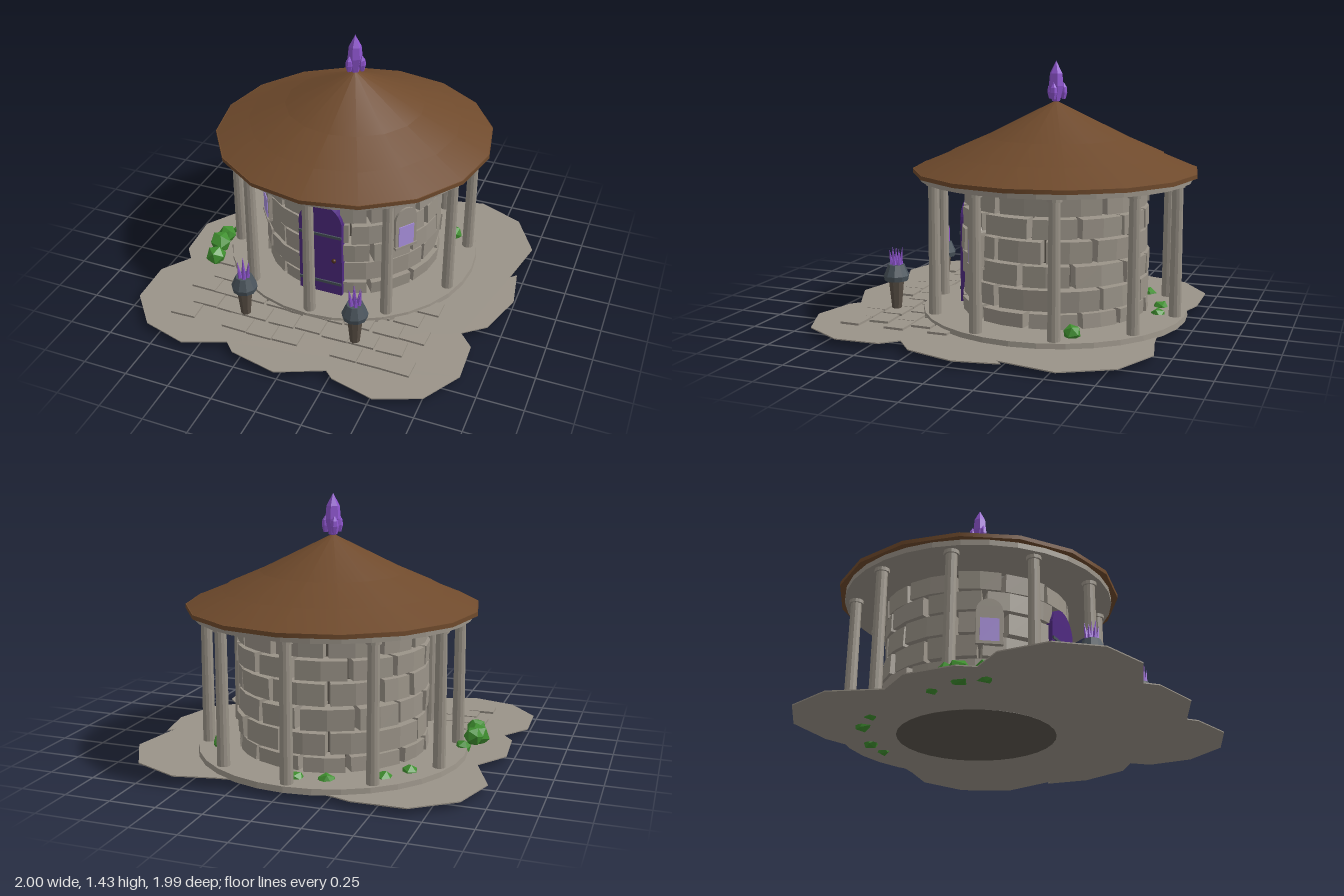
import * as THREE from 'three';

const mat = (name, color, extra = {}) =>
  Object.assign(new THREE.MeshStandardMaterial({ color, ...extra }), { name });

export function createModel() {
  const stone = mat('stone', 0x9a9388, { flatShading: true });
  const mortar = mat('mortar', 0x5c564e);
  const brown = mat('roof brown', 0x6f4a2c);
  const doorPurple = mat('door purple', 0x4f2a80);
  const crystal = mat('crystal purple', 0x8f55d0, { flatShading: true });
  const pane = mat('window lilac', 0xa88fdc);
  const iron = mat('iron', 0x4a545c, { flatShading: true });
  const wood = mat('post wood', 0x5a5046, { flatShading: true });
  const green = mat('leaf green', 0x3f8f2f, { flatShading: true });
  const brass = mat('knob brown', 0x4a2c18);

  const model = new THREE.Group();
  const temple = new THREE.Group();
  temple.name = 'temple';
  temple.position.set(-0.035, 0, -0.21);
  model.add(temple);

  let seed = 7;
  const rnd = () => (seed = (seed * 16807) % 2147483647) / 2147483647;
  const jit = (a) => (rnd() - 0.5) * 2 * a;
  const add = (parent, name, geo, material, x = 0, y = 0, z = 0) => {
    const m = new THREE.Mesh(geo, material);
    m.name = name;
    m.position.set(x, y, z);
    parent.add(m);
    return m;
  };
  // Upright cylinder or cone standing between two heights
  const column = (parent, name, rTop, rBottom, y0, y1, sides, material, x = 0, z = 0) =>
    add(parent, name, new THREE.CylinderGeometry(rTop, rBottom, y1 - y0, sides), material, x, (y0 + y1) / 2, z);

  // Ground slab with a lobed outline
  const outline = [[-.38, -.95], [-.66, -.945], [-.88, -.78], [-.96, -.52], [-.85, -.25], [-.97, -.07], [-.95, .2],
    [-.89, .28], [-1, .44], [-.99, .7], [-.83, .89], [-.58, .96], [-.35, .87], [-.29, .93], [-.02, .99], [.23, .88],
    [.28, .925], [.52, .985], [.76, .89], [.89, .67], [.88, .43], [.8, .34], [.92, .24], [1, -.03], [.96, -.27],
    [.925, -.235], [.985, -.55], [.84, -.81], [.58, -.925], [.37, -.88], [.2, -.86], [-.15, -.88]];
  const groundShape = new THREE.Shape(outline.map(([x, z]) => new THREE.Vector2(x, -z)));
  const groundGeo = new THREE.ExtrudeGeometry(groundShape, { depth: 0.006, bevelEnabled: false }).rotateX(-Math.PI / 2);
  add(model, 'ground', groundGeo, stone, 0, 0.035, 0);

  // Paving stones: row depth followed by stone centres
  const rows = [
    [.715, [-.68, -.36, -.21, -.06, .28, .43, .575]],
    [.587, [-.605, -.45, -.3, -.135, .02, .18, .33, .49]],
    [.46, [-.68, -.53, -.37, -.21, -.06, .1, .26, .425, .575]],
    [.335, [-.6, -.45, .33, .5]],
    [.21, [-.68, .43, .575]],
  ];
  rows.forEach(([z, xs]) => xs.forEach((x) => {
    const s = add(model, 'pavingStone', new THREE.BoxGeometry(0.145, 0.014, 0.112), stone, x, 0.046, z + jit(0.006));
    s.rotation.y = jit(0.04);
  }));

  // Round base, ceiling and ten columns
  column(temple, 'base', 0.735, 0.74, 0.037, 0.068, 32, stone);
  column(temple, 'ceiling', 0.75, 0.75, 0.795, 0.826, 32, stone);
  for (let i = 0; i < 10; i++) {
    const a = (i * Math.PI) / 5, x = 0.685 * Math.sin(a), z = 0.685 * Math.cos(a);
    column(temple, 'columnShaft', 0.03, 0.034, 0.06, 0.78, 12, stone, x, z);
    column(temple, 'columnCapital', 0.04, 0.04, 0.775, 0.8, 12, stone, x, z);
  }

  // Stepped conical roof
  column(temple, 'roofRim', 0.787, 0.787, 0.825, 0.847, 16, brown);
  [[0.787, 0.845, 0.42], [0.6, 0.93, 0.44], [0.395, 1.02, 0.5]].forEach(([r, y, slope], i) =>
    column(temple, 'roofTier' + (i + 1), 0, r, y, y + r * slope, 16, brown));

  // Inner wall and the ring courses of rough stones
  column(temple, 'innerWall', 0.43, 0.43, 0.0335, 0.8, 32, mortar);
  const brick = (a0, a1, y0, y1) => {
    const g = new THREE.BoxGeometry(1, 1, 1, 2, 1, 1), p = g.attributes.position;
    const out = 0.516 + jit(0.008), lean = jit(0.007), tilt = jit(0.006);
    for (let i = 0; i < p.count; i++) {
      const u = p.getX(i), v = p.getY(i), front = p.getZ(i) > 0;
      const inset = front ? 0.92 : 1;
      const a = (a0 + a1) / 2 + u * (a1 - a0) * inset;
      const r = front ? out + lean * v + tilt * u : 0.42;
      const y = (y0 + y1) / 2 + v * (y1 - y0) * inset + u * tilt;
      p.setXYZ(i, r * Math.sin(a), y, r * Math.cos(a));
    }
    g.computeVertexNormals();
    add(temple, 'wallStone', g, stone);
  };
  const courses = [0.066, 0.155, 0.283, 0.41, 0.54, 0.657, 0.772], n = 12, gap = 0.008;
  for (let row = 0; row < 6; row++) {
    const cuts = [];
    for (let i = 0; i < n; i++) cuts.push(-Math.PI + ((i + (row % 2) / 2) * 2 * Math.PI) / n + jit(0.07));
    cuts.push(cuts[0] + 2 * Math.PI);
    for (let i = 0; i < n; i++) {
      const a = cuts[i] + gap, b = cuts[i + 1] - gap, d = row < 5 ? 0.2 : 0;
      const y0 = courses[row] + 0.003, y1 = courses[row + 1] - 0.003;
      // Leave the doorway free
      if (d && a < d && b > -d) {
        if (a < -d - 0.03) brick(a, -d, y0, y1);
        if (b > d + 0.03) brick(d, b, y0, y1);
      } else brick(a, b, y0, y1);
    }
  }

  // Arched panel standing on y = 0 with its back at z = 0
  const arch = (w, h, depth) => {
    const s = new THREE.Shape();
    s.moveTo(-w / 2, 0);
    s.lineTo(w / 2, 0);
    s.lineTo(w / 2, h - w / 2);
    s.absarc(0, h - w / 2, w / 2, 0, Math.PI);
    return new THREE.ExtrudeGeometry(s, { depth, bevelEnabled: false, curveSegments: 8 });
  };

  // Door with iron bands and a knob
  const door = new THREE.Group();
  door.name = 'door';
  temple.add(door);
  add(door, 'doorPanel', arch(0.254, 0.592, 0.1), doorPurple, 0, 0.066, 0.422);
  for (const y of [0.145, 0.462]) add(door, 'doorBand', new THREE.BoxGeometry(0.25, 0.016, 0.009), iron, 0, y, 0.525);
  add(door, 'doorKnob', new THREE.SphereGeometry(0.013, 10, 8), brass, 0.083, 0.305, 0.53);

  // A window on each side of the door
  for (const side of [1, -1]) {
    const win = new THREE.Group();
    win.name = 'window';
    win.rotation.y = side * 0.94;
    temple.add(win);
    add(win, 'windowFrame', arch(0.14, 0.25, 0.1), stone, 0, 0.355, 0.428);
    add(win, 'windowPane', new THREE.BoxGeometry(0.1, 0.13, 0.006), pane, 0, 0.428, 0.53);
    add(win, 'windowSill', new THREE.BoxGeometry(0.145, 0.016, 0.03), stone, 0, 0.356, 0.522);
  }

  // Crystal cluster on the roof tip
  const gem = (name, r, h, x, y, z) => {
    const pts = [[0, 0], [0.55 * r, 0.03 * h], [r, 0.4 * h], [0.85 * r, 0.7 * h], [0, h]];
    const g = new THREE.LatheGeometry(pts.map(([a, b]) => new THREE.Vector2(a, b)), 6);
    return add(temple, name, g, crystal, x, y, z);
  };
  gem('mainCrystal', 0.042, 0.225, 0, 1.207, 0);
  for (let i = 0; i < 3; i++) {
    const a = (i * 2 * Math.PI) / 3;
    gem('sideCrystal', 0.021, 0.095, 0.042 * Math.cos(a), 1.222, 0.042 * Math.sin(a));
  }

  // Two torches holding crystal spikes
  for (const x of [-0.358, 0.289]) {
    const torch = new THREE.Group();
    torch.name = 'torch';
    torch.position.set(x, 0, 0.618);
    model.add(torch);
    column(torch, 'torchPost', 0.047, 0.027, 0.042, 0.235, 8, wood);
    column(torch, 'torchBrim', 0.072, 0.066, 0.212, 0.24, 10, iron);
    column(torch, 'torchCup', 0.046, 0.072, 0.24, 0.302, 10, iron);
    for (let i = 0; i < 7; i++) {
      const a = (i * Math.PI) / 3, r = i < 6 ? 0.03 : 0;
      const s = column(torch, 'torchSpike', 0, 0.013, 0.295, i % 2 ? 0.385 : 0.405, 5, crystal, r * Math.cos(a), r * Math.sin(a));
      s.rotation.set(0.12 * Math.sin(a) * (r && 1), 0, -0.12 * Math.cos(a) * (r && 1));
    }
  }

  // Faceted bushes: x, y, z, radius
  [[-.775, .08, .115, .068], [-.74, .075, .24, .062], [-.765, .095, .04, .055], [-.73, .06, -.06, .045],
    [.515, .085, -.485, .048], [-.05, .055, -.8, .045], [-.2, .052, -.78, .05], [-.46, .052, -.65, .05],
    [-.56, .06, -.53, .045]].forEach(([x, y, z, r]) => {
    const b = add(model, 'bush', new THREE.IcosahedronGeometry(r, 0), green, x, y, z);
    b.rotation.set(rnd(), rnd() * 3, rnd());
  });

  return model;
}
